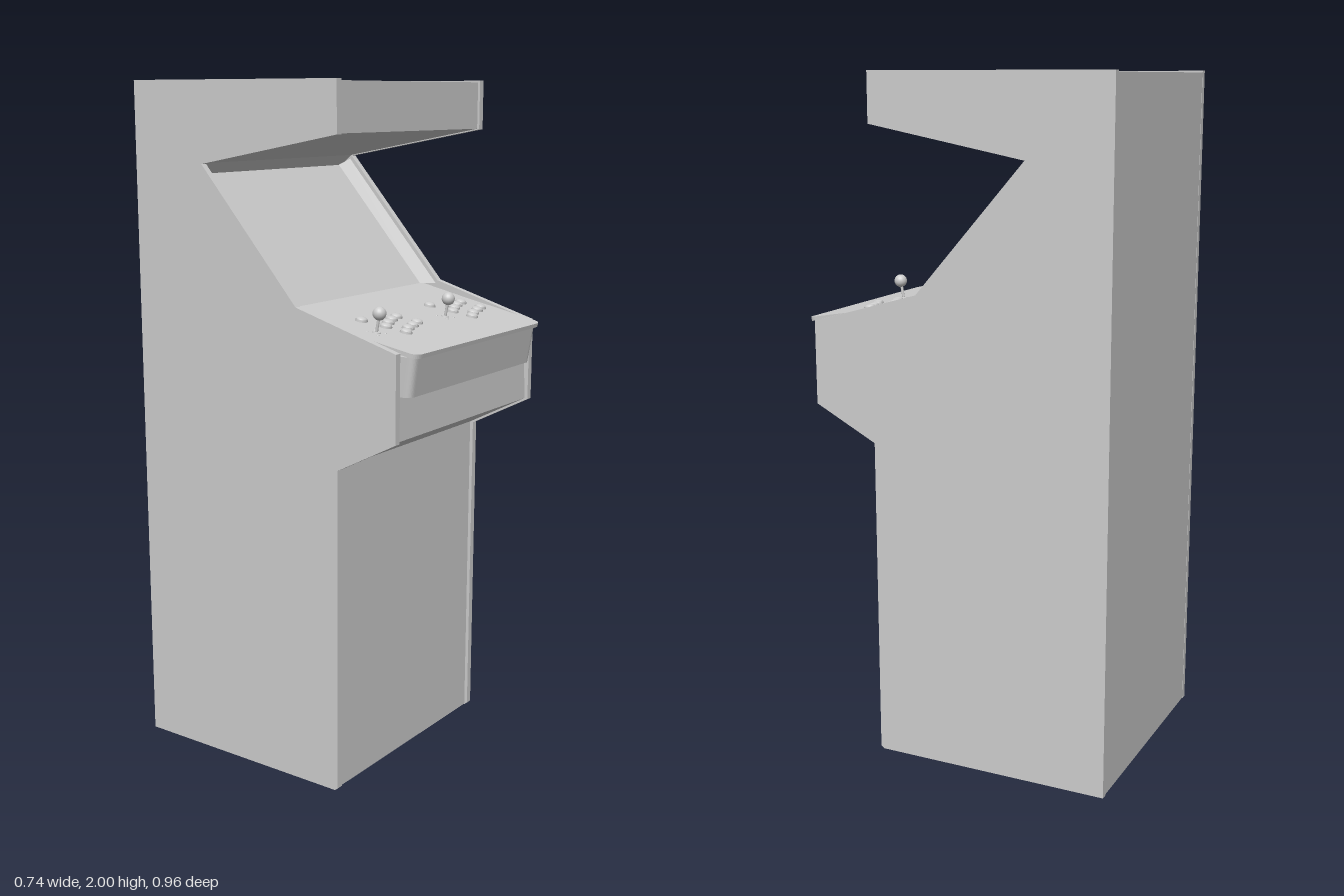
import * as THREE from 'three';

const material = new THREE.MeshStandardMaterial({ color: 0xcccccc });
const thin = new THREE.MeshStandardMaterial({ color: 0xcccccc, side: THREE.DoubleSide });

function add(parent, name, geometry, x = 0, y = 0, z = 0, mat = material) {
  const mesh = new THREE.Mesh(geometry, mat);
  mesh.name = name;
  mesh.position.set(x, y, z);
  parent.add(mesh);
  return mesh;
}

// Extrudes a [z, y] outline sideways from x0 to x1
function slab(points, x0, x1) {
  const shape = new THREE.Shape(points.map(([z, y]) => new THREE.Vector2(z, y)));
  const g = new THREE.ExtrudeGeometry(shape, { depth: x1 - x0, bevelEnabled: false });
  return g.rotateY(-Math.PI / 2).translate(x1, 0, 0);
}

// Extrudes a plan outline (x, z) downward; the two front corners are rounded
function tray(backL, backR, frontL, frontR, z0, z1, r, depth) {
  const s = new THREE.Shape();
  s.moveTo(backL, z0);
  s.lineTo(backR, z0);
  s.lineTo(frontR, z1 - r);
  s.quadraticCurveTo(frontR, z1, frontR - r, z1);
  s.lineTo(frontL + r, z1);
  s.quadraticCurveTo(frontL, z1, frontL, z1 - r);
  s.closePath();
  const g = new THREE.ExtrudeGeometry(s, { depth, bevelEnabled: false, curveSegments: 8 });
  return g.rotateX(Math.PI / 2);
}

function createButton() {
  const button = new THREE.Group();
  button.name = 'button';
  add(button, 'buttonRim', new THREE.CylinderGeometry(0.017, 0.018, 0.006, 20), 0, 0.003, 0);
  const cap = new THREE.SphereGeometry(0.016, 20, 6, 0, Math.PI * 2, 0, Math.PI / 2);
  add(button, 'buttonCap', cap.scale(1, 0.45, 1), 0, 0.005, 0);
  return button;
}

function createJoystick() {
  const stick = new THREE.Group();
  stick.name = 'joystick';
  add(stick, 'dustWasher', new THREE.CylinderGeometry(0.011, 0.012, 0.003, 20), 0, 0.0015, 0);
  add(stick, 'shaft', new THREE.CylinderGeometry(0.004, 0.004, 0.05, 12), 0, 0.025, 0);
  add(stick, 'ballTop', new THREE.SphereGeometry(0.019, 20, 14), 0, 0.054, 0);
  for (const x of [-0.018, 0.018]) for (const z of [-0.018, 0.018])
    add(stick, 'screw', new THREE.CylinderGeometry(0.003, 0.004, 0.002, 10), x, 0.001, z);
  return stick;
}

export function createModel() {
  const cabinet = new THREE.Group();
  cabinet.name = 'arcadeCabinet';

  // Side panels
  const side = [[-0.48, 0], [0.23, 0], [0.24, 0.008], [0.24, 0.957], [0.43, 1.056], [0.43, 1.30],
    [0.10, 1.395], [-0.23, 1.77], [0.24, 1.858], [0.24, 2], [-0.48, 2]];
  add(cabinet, 'rightSidePanel', slab(side, -0.37, -0.35));
  add(cabinet, 'leftSidePanel', slab(side, 0.35, 0.37));

  // Body between the sides: door, underside, screen recess, hood
  const body = [[-0.479, 0.002], [0.23, 0.002], [0.23, 0.959], [0.42, 1.058], [0.41, 1.285],
    [0.19, 1.335], [0.19, 1.352], [0.045, 1.383], [-0.27, 1.74], [-0.232, 1.772],
    [0.233, 1.86], [0.233, 1.995], [-0.479, 1.995]];
  add(cabinet, 'body', slab(body, -0.35, 0.35));

  // Angled screen surrounds, one per side
  for (const s of [-1, 1]) {
    const outer = [[0.095, 1.385], [-0.235, 1.76]];
    const inner = [[0.047, 1.384], [-0.268, 1.741]];
    const g = new THREE.BufferGeometry();
    const corners = [...outer.map(([z, y]) => [s * 0.349, y, z]), ...inner.map(([z, y]) => [s * 0.332, y, z])];
    g.setAttribute('position', new THREE.Float32BufferAttribute(corners.flat(), 3));
    g.setIndex(s > 0 ? [0, 1, 2, 1, 3, 2] : [0, 2, 1, 1, 2, 3]);
    g.computeVertexNormals();
    add(cabinet, s > 0 ? 'leftScreenBezel' : 'rightScreenBezel', g, 0, 0, 0, thin);
  }

  // Tilted control deck
  const deck = new THREE.Group();
  deck.name = 'controlDeck';
  const tilt = 0.178, backZ = 0.185;
  const along = z => (z - backZ) / Math.cos(tilt);
  deck.position.set(0, 1.353, backZ);
  deck.rotation.x = tilt;
  cabinet.add(deck);
  add(deck, 'deckPlate', tray(-0.35, 0.349, -0.35, 0.33, 0, along(0.48), 0.03, 0.012));

  // Two sets of player controls
  const buttons = [[-0.198, 0.28], [-0.158, 0.26], [-0.118, 0.245], [-0.08, 0.235],
    [-0.187, 0.34], [-0.148, 0.32], [-0.106, 0.308], [-0.068, 0.297], [-0.215, 0.21]];
  for (const dx of [0, 0.35]) {
    for (const [x, z] of buttons) {
      const button = createButton();
      button.position.set(x + dx, 0, along(z));
      deck.add(button);
    }
    const stick = createJoystick();
    stick.position.set(-0.272 + dx, 0, along(0.30));
    deck.add(stick);
  }

  // Apron under the deck, its front leaning back toward the bottom
  const apron = tray(-0.34, 0.32, -0.34, 0.32, 0.40, 0.468, 0.022, 0.11);
  const p = apron.attributes.position;
  for (let i = 0; i < p.count; i++) {
    if (p.getZ(i) > 0.42) p.setZ(i, p.getZ(i) + p.getY(i) * 0.15);
    p.setX(i, p.getX(i) * (1 + p.getY(i) * 0.12));
  }
  apron.computeVertexNormals();
  add(cabinet, 'deckApron', apron, 0, 1.29, 0);

  return cabinet;
}
